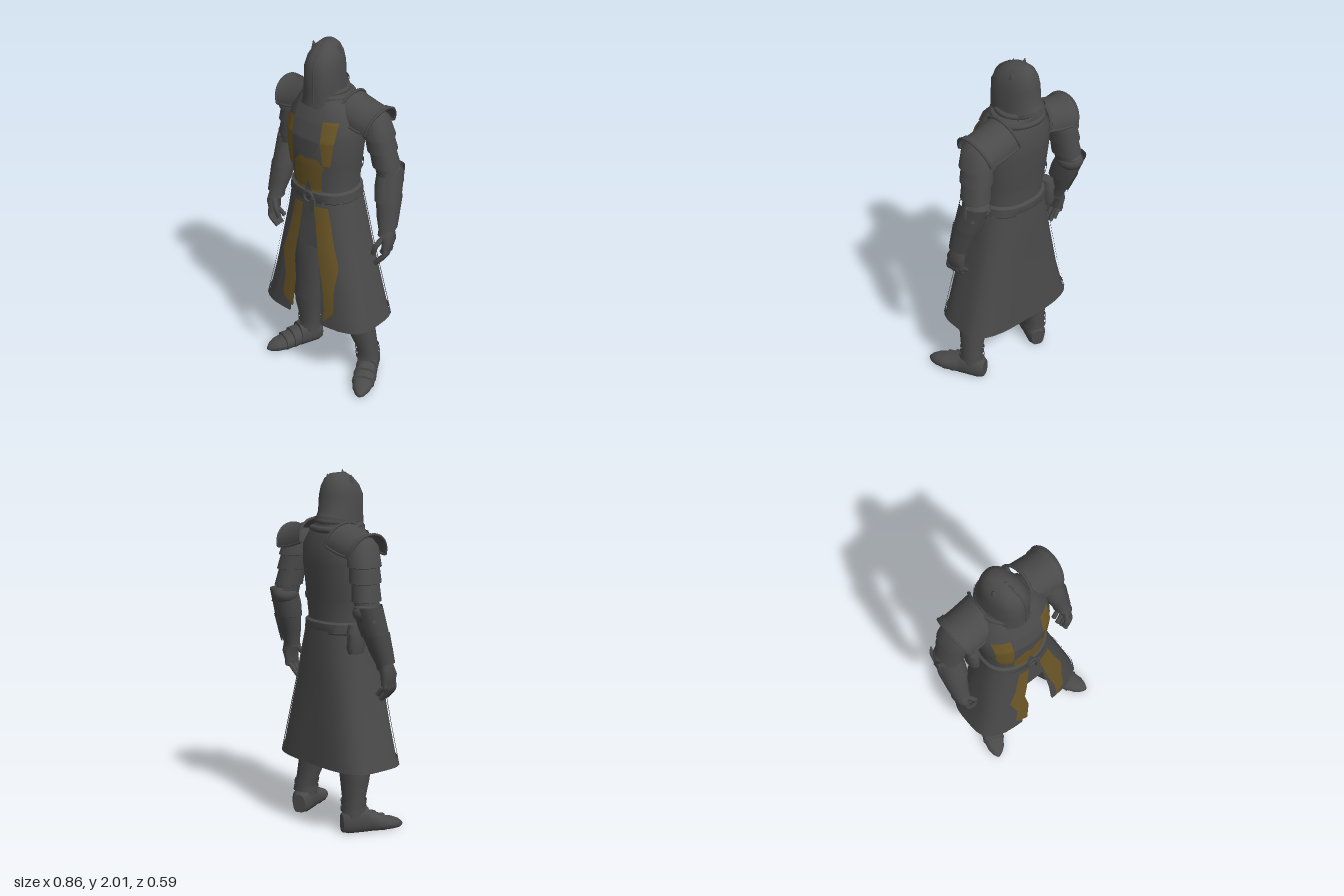
import * as THREE from 'three';
import { toCreasedNormals } from 'three/addons/utils/BufferGeometryUtils.js';

const steel = new THREE.MeshStandardMaterial({ color: 0x4a4a4a, side: THREE.DoubleSide });
steel.name = 'dark steel';
const gold = new THREE.MeshStandardMaterial({ color: 0x6b5626, side: THREE.DoubleSide });
gold.name = 'old gold cloth';

const N = 2.3; // usual roundness of the superellipse cross-sections
const pow = (s, n) => Math.sign(s) * Math.abs(s) ** (2 / n);

function add(parent, name, geo, mat = steel) {
  const mesh = new THREE.Mesh(geo, mat);
  mesh.name = name;
  parent.add(mesh);
  return mesh;
}

// Grid surface from a point function f(u, v), u and v in 0..1
function grid(nu, nv, f) {
  const pos = [], idx = [];
  for (let i = 0; i <= nu; i++) for (let j = 0; j <= nv; j++) pos.push(...f(i / nu, j / nv));
  for (let i = 0; i < nu; i++) for (let j = 0; j < nv; j++) {
    const a = i * (nv + 1) + j, c = a + nv + 1;
    idx.push(a, a + 1, c + 1, a, c + 1, c);
  }
  const g = new THREE.BufferGeometry();
  g.setAttribute('position', new THREE.Float32BufferAttribute(pos, 3));
  g.setIndex(idx);
  return toCreasedNormals(g, 0.65);
}

// Stack of rings, row = [y, cx, cz, rx, rz, tilt, frontGap, roundness]; arc limits it to a panel
function loft(rows, { seg = 28, arc, off = 0, cap = false } = {}) {
  let r = rows[0][0] > rows[rows.length - 1][0] ? [...rows].reverse() : rows;
  const end = (q) => [q[0], q[1], q[2], 0, 0];
  if (cap) r = [end(r[0]), ...r, end(r[r.length - 1])];
  return grid(r.length - 1, seg, (u, v) => {
    const [y, cx, cz, rx, rz, tilt = 0, gap = 0, n = N] = r[Math.round(u * (r.length - 1))];
    const [a0, a1] = arc || [gap, 2 * Math.PI - gap];
    const a = a0 + (a1 - a0) * v;
    return [cx + (rx + off) * pow(Math.sin(a), n), y + tilt * Math.cos(a), cz + (rz + off) * pow(Math.cos(a), n)];
  });
}

// Value of a row table at height y
function at(rows, y) {
  let i = 0;
  while (i < rows.length - 2 && (rows[i + 1][0] - y) * (rows[1][0] - rows[0][0]) < 0) i++;
  const t = THREE.MathUtils.clamp((y - rows[i][0]) / (rows[i + 1][0] - rows[i][0]), 0, 1);
  return rows[i].map((q, k) => q + (rows[i + 1][k] - q) * t);
}

// Thin plate lying on the front of a loft; outline rows = [y, x0, x1]
function patch(body, outline, off) {
  const y0 = outline[0][0], y1 = outline[outline.length - 1][0];
  return grid(32, 6, (u, v) => {
    const y = y0 + (y1 - y0) * u, [, xa, xb] = at(outline, y), [, cx, cz, rx, rz, , , n = N] = at(body, y);
    const x = xa + (xb - xa) * v, k = Math.min(0.97, Math.abs((x - cx) / (rx + off)));
    return [x, y, cz + (rz + off) * (1 - k ** n) ** (1 / n)];
  });
}

const tube = (pts, r, seg = 16) =>
  new THREE.TubeGeometry(new THREE.CatmullRomCurve3(pts.map((p) => new THREE.Vector3(...p))), seg, r, 6);

// Rings along a bone; profile = [t, radius]
const bone = (A, B, profile, squash = 0.86) => profile.map(([t, r]) => {
  const p = A.map((q, k) => q + (B[k] - q) * t);
  return [p[1], p[0], p[2], r * squash, r];
});

const TORSO = [[1.1, -.02, 0, .2, .16], [1.2, -.02, 0, .186, .153], [1.35, -.025, 0, .208, .166],
  [1.5, -.025, -.005, .222, .175], [1.6, -.025, -.02, .212, .161], [1.68, -.03, -.025, .16, .132],
  [1.74, -.045, -.03, .1, .105]];
const SKIRT = [[.38, 0, .01, .365, .207, 0, .13, 3.5], [.6, 0, .01, .31, .195, 0, .16, 3.2],
  [.85, -.01, .006, .255, .18, 0, .19, 2.8], [1.0, -.015, 0, .225, .173, 0, .115, 2.5], [1.14, -.02, 0, .2, .165, 0, .05, 2.3]];

function buildTorso(body) {
  add(body, 'cuirass', loft(TORSO, { seg: 40, cap: true }));
  // Layered chest plates and gold cloth
  add(body, 'breastplate', patch(TORSO, [[1.66, -.12, .065], [1.5, -.125, .065], [1.44, -.09, .045], [1.385, -.03, -.015]], .01));
  add(body, 'upperChestLame', patch(TORSO, [[1.67, -.12, .065], [1.6, -.12, .065], [1.53, -.03, -.015]], .018));
  add(body, 'rightChestCloth', patch(TORSO, [[1.59, -.217, -.13], [1.4, -.207, -.125], [1.3, -.182, -.13]], .007), gold);
  add(body, 'leftChestCloth', patch(TORSO, [[1.61, .062, .142], [1.5, .067, .138], [1.36, .078, .118]], .007), gold);
  add(body, 'bellyCloth', patch(TORSO, [[1.18, -.11, .065], [1.29, -.122, .068], [1.345, -.115, .085], [1.39, -.07, .05]], .006), gold);
  add(body, 'bellyPoint', patch(TORSO, [[1.18, -.045, .01], [1.25, -.021, -.017]], .01));
  // Waist seam behind, belt, buckle, pouch
  add(body, 'backplateEdge', loft([at(TORSO, 1.3), at(TORSO, 1.325)], { arc: [1.5, 4.8], off: .008 }));
  add(body, 'belt', loft([[1.12, -.02, 0, .2, .165], [1.13, -.02, 0, .208, .171], [1.18, -.02, 0, .204, .168], [1.19, -.02, 0, .188, .153]], { seg: 40 }));
  const buckle = add(body, 'buckle', new THREE.TorusGeometry(.031, .008, 6, 16));
  buckle.position.set(-.01, 1.15, .172);
  const tail = add(body, 'beltTail', new THREE.BoxGeometry(.025, .08, .012));
  tail.position.set(.025, 1.11, .176);
  const pouch = add(body, 'pouch', loft([[1.03, 0, 0, .03, .045], [1.06, 0, 0, .037, .055], [1.14, 0, 0, .033, .05],
    [1.14, 0, 0, .038, .056], [1.19, 0, 0, .03, .045]], { cap: true }));
  pouch.position.set(-.235, 0, -.07);
  // Cowl folds round the neck
  [[1.7, .125, .018], [1.73, .105, .016], [1.68, .14, .016]].forEach(([y, r, t], i) => {
    const fold = add(body, 'cowlFold', new THREE.TorusGeometry(r, t, 8, 28));
    fold.rotation.x = Math.PI / 2 + .1 * (i - 1);
    fold.position.set(-.04, y, -.035);
  });
}

function buildSkirt(body) {
  add(body, 'coatSkirt', loft(SKIRT, { seg: 80 }));
  // Hem band and overlapping panels
  add(body, 'hemBand', loft([SKIRT[0], at(SKIRT, .425)], { seg: 80, off: .007 }));
  add(body, 'backPanel', loft(SKIRT, { arc: [2.75, 3.53], off: .008, seg: 16 }));
  for (const [a, b] of [[.42, .5], [.95, 1.05], [2.0, 2.1]]) for (const s of [-1, 1])
    add(body, 'skirtSeam', loft(SKIRT, { arc: s > 0 ? [a, b] : [-b, -a], off: .009, seg: 4 }));
  add(body, 'frontFlap', patch(SKIRT, [[1.13, -.08, .06], [.95, -.09, .1], [.84, -.065, .08]], -.012));
  add(body, 'leftTabard', patch(SKIRT, [[1.11, .035, .115], [.89, .07, .17], [.77, .09, .208], [.62, .125, .195],
    [.49, .142, .203], [.42, .135, .145]], .016), gold);
  add(body, 'rightTabard', patch(SKIRT, [[1.11, -.1, -.04], [.89, -.14, -.065], [.77, -.182, -.085], [.62, -.147, -.067],
    [.48, -.165, -.08], [.43, -.09, -.083]], .016), gold);
}

function buildPauldron(body, s) {
  const P = (u, v, lift = 0) => [-.025 + s * (.105 + .2 * u + .035 * Math.cos(v)),
    1.615 - .06 * u + .015 * u ** 5 + (.112 + lift) * Math.cos(v), -.072 + (.123 + lift) * Math.sin(v)];
  const V = (v) => (v - .5) * 3.2;
  const g = new THREE.Group();
  g.name = s > 0 ? 'leftPauldron' : 'rightPauldron';
  body.add(g);
  add(g, 'shoulderPlate', grid(8, 20, (u, v) => P(u, V(v))));
  add(g, 'outerBand', grid(2, 20, (u, v) => P(.84 + .17 * u, V(v), .007)));
  for (const u of [0, 1]) {
    const pts = [...Array(11)].map((_, i) => P(u, V(i / 10), .004));
    add(g, 'rolledRim', tube(pts, .008, 24));
  }
  for (const v of [0, 1]) add(g, 'sideRim', tube([P(0, V(v)), P(.5, V(v)), P(1, V(v))], .007, 6));
}

function buildHelm(root) {
  const head = new THREE.Group();
  head.name = 'helm';
  head.position.set(-.043, 0, -.054);
  root.add(head);
  add(head, 'helmShell', loft([[1.715, 0, -.005, .108, .153, -.04], [1.77, 0, .004, .101, .14, -.02], [1.87, 0, .006, .098, .136],
    [1.92, 0, -.002, .086, .118], [1.96, 0, -.012, .064, .09], [1.985, 0, -.018, .035, .055], [1.99, 0, -.02, 0, 0]], { seg: 32 }));
  add(head, 'brimRim', loft([[1.708, 0, -.005, .11, .155, -.04], [1.728, 0, -.004, .11, .152, -.038]], { seg: 32, off: .003 }));
  add(head, 'faceRidge', tube([[0, 1.69, .148], [0, 1.78, .145], [0, 1.87, .142], [0, 1.93, .113], [0, 1.985, .04]], .005));
  add(head, 'innerHead', loft([[1.66, 0, 0, .075, .08], [1.8, 0, 0, .085, .1]], { cap: true }));
  // Small crown horns
  for (const [x, y, z, tilt] of [[-.068, 1.955, 0, .25], [.068, 1.955, -.02, -.25], [0, 1.978, .02, 0]]) {
    const horn = add(head, 'crownHorn', new THREE.ConeGeometry(.024, .055, 6));
    horn.position.set(x, y, z);
    horn.rotation.z = tilt;
  }
}

function buildArm(root, s, S, E, W) {
  const arm = new THREE.Group();
  arm.name = s > 0 ? 'leftArm' : 'rightArm';
  root.add(arm);
  add(arm, 'upperArmLames', loft(bone(S, E, [[0, .055], [.1, .085], [.38, .097], [.39, .085], [.6, .09], [.61, .078], [.85, .083], [.86, .07], [1.05, .07]]), { cap: true }));
  add(arm, 'forearm', loft(bone(E, W, [[-.1, .068], [.2, .08], [.45, .078], [.46, .07], [.75, .062], [1, .048], [1.08, .052]]), { cap: true }));
  const cop = add(arm, 'elbowCop', new THREE.SphereGeometry(.077, 16, 10));
  cop.scale.set(.9, .75, 1.05);
  cop.position.set(E[0], E[1], E[2] - .01);
  // Flared outer gauntlet plates
  const out = s > 0 ? [.2, 2.9] : [-2.9, -.2];
  [[-.12, .45, .092], [.4, .72, .084], [.68, .95, .073]].forEach(([a, b, r]) =>
    add(arm, 'gauntletPlate', loft(bone(E, W, [[a, r], [b, r * .84]], .92), { arc: out, seg: 14 })));
  const wing = add(arm, 'elbowWing', new THREE.ConeGeometry(.045, .1, 5));
  wing.position.set(E[0] + s * .065, E[1] + .01, E[2]);
  wing.rotation.z = -s * .35;
  wing.scale.z = 1.3;
  // Hand with curled fingers
  const [x, y, z] = W;
  add(arm, 'palm', loft([[y + .01, x, z, .042, .045], [y - .05, x + s * .02, z + .01, .034, .055], [y - .11, x + s * .012, z + .015, .024, .052]], { cap: true }));
  for (let i = 0; i < 4; i++) {
    const fz = z - .025 + i * .028, d = i === 0 ? .035 : i * .004;
    add(arm, 'finger', tube([[x + s * .016, y - .09, fz], [x + s * .018, y - .13, fz + .006],
      [x, y - .165 + d, fz + .01], [x - s * .035, y - .2 + d, fz + .01]], .014, 8));
  }
  add(arm, 'thumb', tube([[x, y - .03, z + .04], [x - s * .03, y - .08, z + .075], [x - s * .045, y - .13, z + .07]], .016, 8));
}

function buildLeg(root, s, rows, heel, yaw) {
  const leg = new THREE.Group();
  leg.name = s > 0 ? 'leftLeg' : 'rightLeg';
  root.add(leg);
  add(leg, 'legAndGreave', loft(rows, { cap: true }));
  for (const [y, off] of [[.36, .007], [.16, .008], [.12, .009]])
    add(leg, 'greaveRim', loft([at(rows, y), at(rows, y + .025)], { off }));
  // Sabaton with overlapping lames, lofted along its length and flattened below
  const foot = loft([[0, 0, -.05, .038, .055], [.03, 0, -.06, .056, .075], [.12, 0, -.065, .06, .08], [.15, 0, -.06, .064, .072],
    [.152, 0, -.052, .058, .062], [.2, 0, -.045, .068, .056], [.202, 0, -.04, .062, .048], [.25, 0, -.035, .066, .045],
    [.252, 0, -.03, .059, .038], [.3, 0, -.026, .05, .033], [.335, 0, -.02, .03, .024], [.356, 0, -.016, .008, .01]], { cap: true });
  foot.rotateX(Math.PI / 2);
  const p = foot.attributes.position;
  for (let i = 0; i < p.count; i++) p.setY(i, Math.max(0, p.getY(i)));
  const sabaton = add(leg, 'sabaton', toCreasedNormals(foot, .65));
  sabaton.position.set(heel[0], 0, heel[1]);
  sabaton.rotation.y = yaw;
}

export function createModel() {
  const root = new THREE.Group();
  root.name = 'armouredKnight';
  // Torso and coat stand slightly turned
  const body = new THREE.Group();
  body.name = 'body';
  body.rotation.y = -.22;
  body.position.z = -.02;
  root.add(body);
  buildTorso(body);
  buildSkirt(body);
  for (const s of [-1, 1]) buildPauldron(body, s);
  buildHelm(root);
  buildArm(root, 1, [.255, 1.66, -.025], [.335, 1.29, -.06], [.37, .99, .025]);
  buildArm(root, -1, [-.272, 1.66, -.16], [-.335, 1.28, -.2], [-.378, .98, -.1]);
  buildLeg(root, 1, [[1.05, .07, -.02, .09, .1], [.8, .13, 0, .1, .11], [.55, .195, .03, .088, .09], [.4, .228, .045, .084, .082],
    [.3, .238, .045, .078, .075], [.17, .272, .03, .058, .06], [.09, .277, .03, .06, .065]], [.26, -.055], .24);
  buildLeg(root, -1, [[1.05, -.1, -.04, .09, .1], [.8, -.13, -.05, .1, .11], [.55, -.157, -.075, .088, .09], [.4, -.17, -.09, .09, .085],
    [.3, -.174, -.092, .08, .077], [.17, -.172, -.1, .06, .06], [.09, -.173, -.1, .06, .065]], [-.135, -.16], -.62);
  return root;
}
